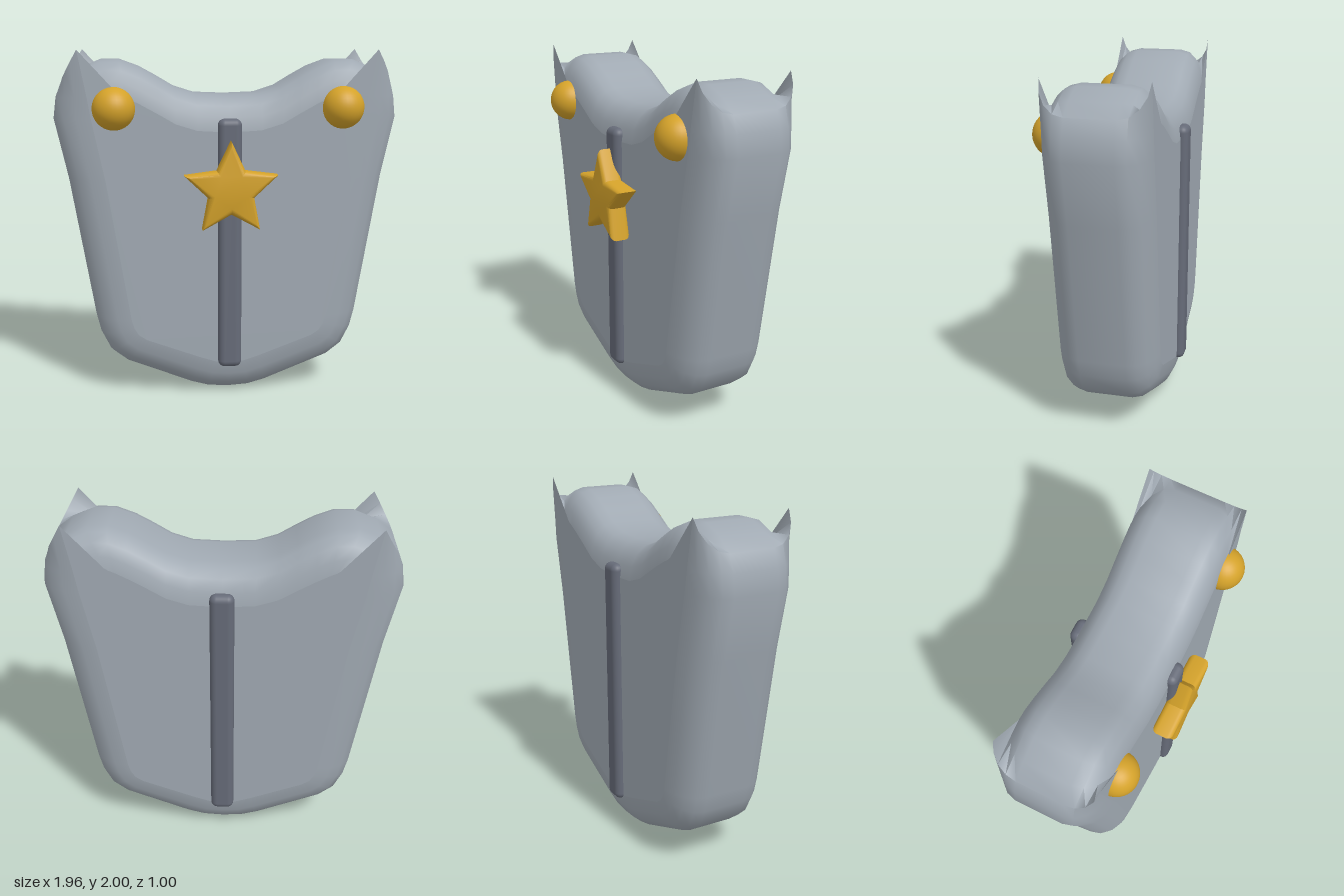
import * as THREE from 'three';
import { mergeVertices, toCreasedNormals } from 'three/addons/utils/BufferGeometryUtils.js';
import { RoundedBoxGeometry } from 'three/addons/geometries/RoundedBoxGeometry.js';

const HALF = 0.28;   // half thickness of the plate
const BEVEL = 0.15;  // depth of the rounded rim

// Right half of the plate, bottom centre to top centre: outer x, y, face x, y
const PROFILE = [
  [0, 0.005, 0, 0.2], [0.12, 0.013, 0.08, 0.206], [0.22, 0.04, 0.17, 0.235],
  [0.6, 0.19, 0.48, 0.35], [0.69, 0.26, 0.525, 0.38], [0.745, 0.37, 0.55, 0.42],
  [0.77, 0.47, 0.565, 0.47], [0.905, 1.28, 0.695, 1.28], [0.98, 1.62, 0.765, 1.62],
  [0.965, 1.74, 0.785, 1.74], [0.93, 1.83, 0.834, 2.0], // pointed horn
  [0.84, 1.895, 0.62, 1.765], [0.72, 1.945, 0.6, 1.752], [0.61, 1.945, 0.57, 1.74],
  [0.5, 1.905, 0.5, 1.705], [0.4, 1.85, 0.4, 1.65], [0.3, 1.79, 0.3, 1.592],
  [0.18, 1.752, 0.18, 1.555], [0, 1.745, 0, 1.545],
];

function plateGeometries() {
  const mirrored = PROFILE.slice(1, -1).reverse().map(([a, b, c, d]) => [-a, b, -c, d]);
  const loop = [...PROFILE, ...mirrored];
  const n = loop.length;

  // Rim: rings swept along a quarter ellipse at the front and again at the back
  const steps = 4, rings = [];
  for (let k = 0; k <= steps; k++) {
    const a = (k / steps) * Math.PI / 2;
    rings.push([Math.sin(a), HALF - BEVEL + BEVEL * Math.cos(a)]);
  }
  for (let k = steps; k >= 0; k--) rings.push([rings[k][0], -rings[k][1]]);
  const pos = [], index = [];
  rings.forEach(([t, z], k) => {
    loop.forEach(([ox, oy, ix, iy], i) => {
      pos.push(ix + (ox - ix) * t, iy + (oy - iy) * t, z);
      if (k === rings.length - 1) return;
      const a = k * n + i, b = k * n + (i + 1) % n;
      index.push(a, a + n, b, b, a + n, b + n);
    });
  });
  const rim = new THREE.BufferGeometry();
  rim.setAttribute('position', new THREE.Float32BufferAttribute(pos, 3));
  rim.setIndex(index);

  // Flat front and back faces
  const face = new THREE.ShapeGeometry(new THREE.Shape(loop.map((p) => new THREE.Vector2(p[2], p[3]))));
  return { rim: toCreasedNormals(rim, 0.8), face };
}

function starGeometry() {
  const pts = [];
  for (let i = 0; i < 10; i++) {
    const r = i % 2 ? 0.098 : 0.232, a = Math.PI / 2 + i * Math.PI / 5;
    pts.push(new THREE.Vector2(r * Math.cos(a), r * Math.sin(a)));
  }
  const geo = new THREE.ExtrudeGeometry(new THREE.Shape(pts), {
    depth: 0.06, bevelEnabled: true, bevelThickness: 0.03, bevelSize: 0.03, bevelSegments: 4,
  });
  geo.deleteAttribute('normal');
  geo.deleteAttribute('uv');
  return toCreasedNormals(mergeVertices(geo), 0.7);
}

export function createModel() {
  const steel = new THREE.MeshStandardMaterial({ color: 0xa0a9b2, side: THREE.DoubleSide });
  steel.name = 'steel';
  const darkSteel = new THREE.MeshStandardMaterial({ color: 0x666b78 });
  darkSteel.name = 'darkSteel';
  const gold = new THREE.MeshStandardMaterial({ color: 0xd4a22a });
  gold.name = 'gold';

  const model = new THREE.Group();
  model.name = 'chestPlate';
  const body = new THREE.Group();
  body.name = 'turnedPlate';
  body.rotation.y = 0.244;
  body.position.z = -0.03;
  model.add(body);

  const add = (name, geo, mat, x, y, z) => {
    const mesh = new THREE.Mesh(geo, mat);
    mesh.name = name;
    mesh.position.set(x, y, z);
    body.add(mesh);
    return mesh;
  };

  // Plate
  const { rim, face } = plateGeometries();
  add('plateRim', rim, steel, 0, 0, 0);
  add('frontFace', face, steel, 0, 0, HALF);
  add('backFace', face, steel, 0, 0, -HALF).rotation.y = Math.PI;

  // Centre ridges, front and back
  const ridge = new RoundedBoxGeometry(0.135, 1.445, 0.08, 4, 0.038);
  add('frontRidge', ridge, darkSteel, 0, 0.9, HALF);
  add('backRidge', ridge, darkSteel, 0, 0.9, -HALF);

  // Shoulder studs
  const stud = new THREE.SphereGeometry(0.12, 32, 20);
  add('leftStud', stud, gold, 0.642, 1.68, 0.264);
  add('rightStud', stud, gold, -0.642, 1.68, 0.264);

  // Star badge
  add('star', starGeometry(), gold, 0, 1.23, 0.31);

  return model;
}
